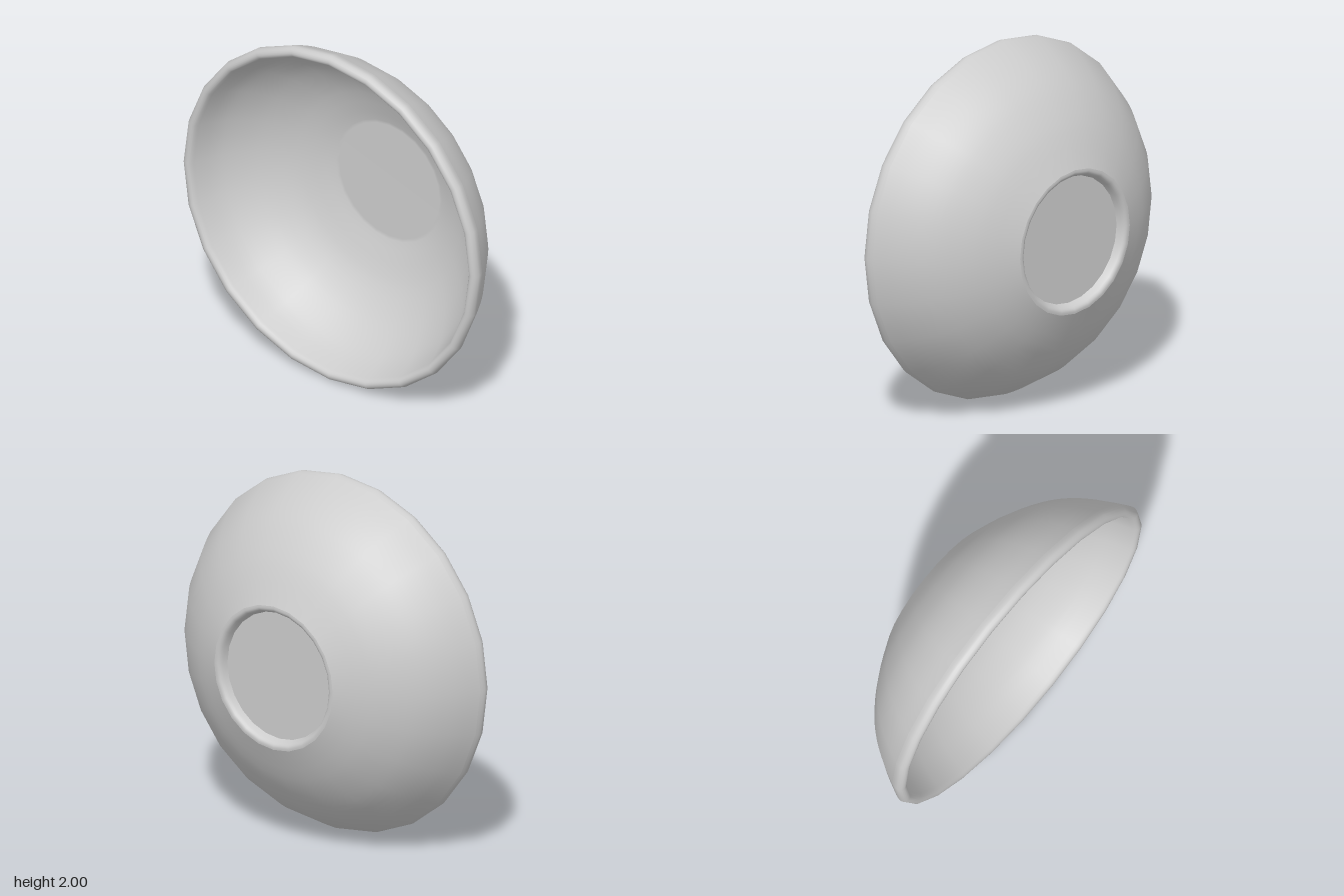
import * as THREE from 'three';

const SIDES = 24;
const material = new THREE.MeshStandardMaterial({ color: 0xcccccc });

// Smooth curve through profile points [radius, depth]
function smooth(points, divisions) {
  const curve = new THREE.SplineCurve(points.map(([r, z]) => new THREE.Vector2(r, z)));
  return curve.getPoints(divisions);
}

// Surface of revolution about the z axis
function turned(name, profile) {
  const geometry = new THREE.LatheGeometry(profile, SIDES);
  geometry.rotateX(Math.PI / 2);
  const mesh = new THREE.Mesh(geometry, material);
  mesh.name = name;
  return mesh;
}

export function createModel() {
  const group = new THREE.Group();
  group.name = 'bowl';

  // Recessed underside inside the foot
  group.add(turned('footRecess', [
    new THREE.Vector2(0, -0.25), new THREE.Vector2(0.355, -0.25),
  ]));

  // Narrow foot ring around the recess
  group.add(turned('footRing', smooth([
    [0.355, -0.25], [0.368, -0.285], [0.385, -0.3], [0.405, -0.3],
  ], 8)));

  // Curved outside wall
  group.add(turned('outerWall', smooth([
    [0.405, -0.3], [0.6, -0.205], [0.75, -0.1], [0.85, 0], [0.93, 0.115], [0.99, 0.23],
  ], 16)));

  // Rounded lip
  group.add(turned('rim', smooth([
    [0.99, 0.23], [1, 0.262], [0.99, 0.29], [0.968, 0.3], [0.947, 0.29], [0.935, 0.262],
  ], 12)));

  // Inside wall running into a flat floor
  group.add(turned('innerWall', [
    ...smooth([
      [0.935, 0.262], [0.885, 0.14], [0.805, 0.03], [0.705, -0.065], [0.56, -0.155], [0.36, -0.225],
    ], 16),
    new THREE.Vector2(0.34, -0.228), new THREE.Vector2(0, -0.228),
  ]));

  group.position.y = 1;
  const model = new THREE.Group();
  model.add(group);
  return model;
}
